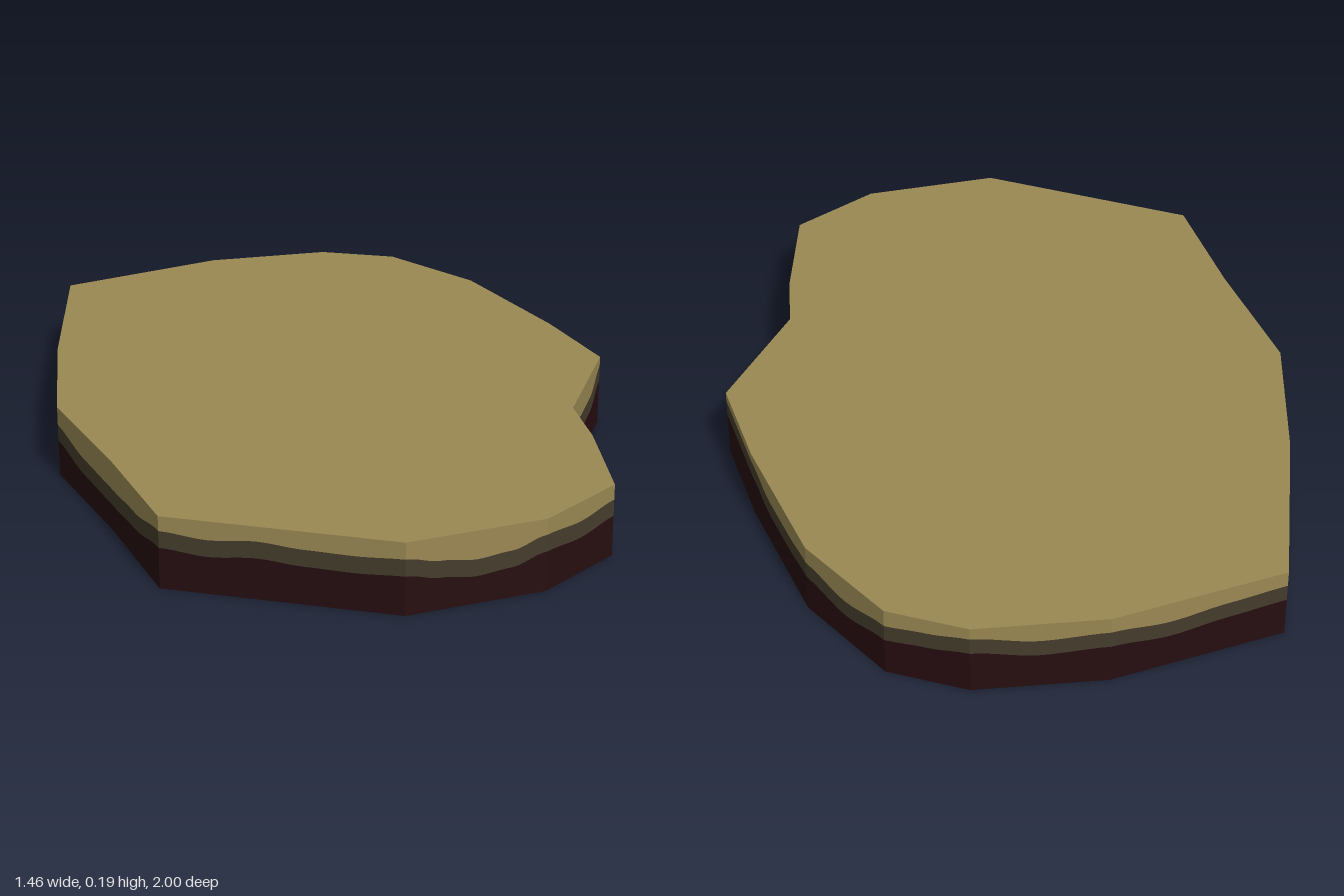
import * as THREE from 'three';

const TOP = 0.186;
const BAND = 0.043; // thickness of the middle layer
const STEPS = 6; // subdivisions between two height samples

// Outline corners, clockwise from above: x, z, then heights of the upper layer's
// lower edge, evenly spaced along the wall to the next corner
const corners = [
  [-0.12, -1.0, 0.145, 0.135],
  [0.21, -0.995, 0.155, 0.145],
  [0.4, -0.905, 0.14, 0.118],
  [0.565, -0.65, 0.14, 0.13, 0.13],
  [0.675, -0.26, 0.16, 0.16],
  [0.727, 0.01, 0.16, 0.12, 0.118],
  [0.543, 0.33, 0.13, 0.135],
  [0.533, 0.51, 0.14, 0.134, 0.128],
  [0.487, 0.805, 0.147, 0.135],
  [0.273, 0.95, 0.145, 0.12, 0.113, 0.125],
  [-0.08, 0.995, 0.143, 0.138, 0.14, 0.148, 0.138],
  [-0.6, 0.72, 0.148, 0.122],
  [-0.653, 0.38, 0.112, 0.115],
  [-0.73, 0.01, 0.137, 0.135],
  [-0.67, -0.39, 0.145, 0.125],
  [-0.56, -0.885, 0.145, 0.14, 0.13],
];

const material = (name, color) =>
  new THREE.MeshStandardMaterial({ name, color, side: THREE.DoubleSide });

// Walk the outline and return fine samples { x, z, h } with eased heights
function sampleOutline() {
  const samples = [];
  corners.forEach(([x, z, ...heights], i) => {
    const [nx, nz, nextHeight] = corners[(i + 1) % corners.length];
    const n = heights.length;
    heights.push(nextHeight);
    for (let k = 0; k < n * STEPS; k++) {
      const j = Math.floor(k / STEPS);
      const t = k / (n * STEPS);
      const ease = THREE.MathUtils.smoothstep((k % STEPS) / STEPS, 0, 1);
      samples.push({
        x: THREE.MathUtils.lerp(x, nx, t),
        z: THREE.MathUtils.lerp(z, nz, t),
        h: THREE.MathUtils.lerp(heights[j], heights[j + 1], ease),
      });
    }
  });
  return samples;
}

// Vertical strip around the outline between two height rules
function layerGeometry(samples, low, high) {
  const positions = [];
  samples.forEach((p, i) => {
    const q = samples[(i + 1) % samples.length];
    const pb = [p.x, low(p.h), p.z];
    const pt = [p.x, high(p.h), p.z];
    const qb = [q.x, low(q.h), q.z];
    const qt = [q.x, high(q.h), q.z];
    positions.push(...pb, ...pt, ...qt, ...pb, ...qt, ...qb);
  });
  const geometry = new THREE.BufferGeometry();
  geometry.setAttribute('position', new THREE.Float32BufferAttribute(positions, 3));
  geometry.computeVertexNormals();
  return geometry;
}

export function createModel() {
  const group = new THREE.Group();
  group.name = 'groundSlab';
  const sand = material('sand', 0x9a8853);
  const clay = material('clay', 0x443c2c);
  const darkSoil = material('darkSoil', 0x260d10);

  const add = (name, geometry, mat) => {
    const mesh = new THREE.Mesh(geometry, mat);
    mesh.name = name;
    group.add(mesh);
  };

  // Flat top surface; the slab is hollow and open below
  const shape = new THREE.Shape(corners.map(([x, z]) => new THREE.Vector2(x, -z)));
  const top = new THREE.ShapeGeometry(shape).rotateX(-Math.PI / 2).translate(0, TOP, 0);
  add('topSurface', top, sand);

  // Wavy layers of the side wall
  const samples = sampleOutline();
  add('upperLayer', layerGeometry(samples, (h) => h, () => TOP), sand);
  add('middleLayer', layerGeometry(samples, (h) => h - BAND, (h) => h), clay);
  add('lowerLayer', layerGeometry(samples, () => 0, (h) => h - BAND), darkSoil);

  return group;
}
